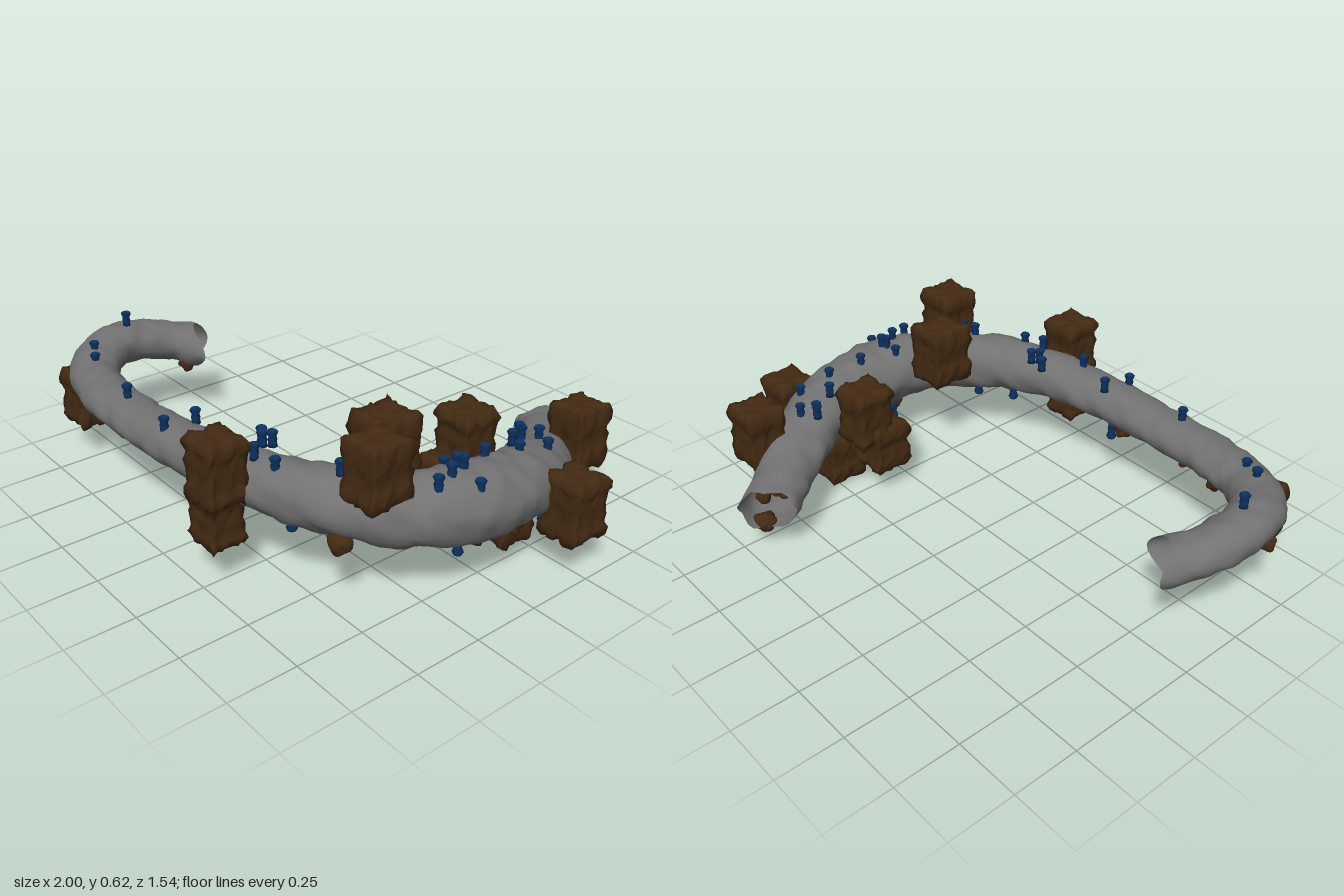
import * as THREE from 'three';
import { mergeVertices } from 'three/addons/utils/BufferGeometryUtils.js';
import { ParametricGeometry } from 'three/addons/geometries/ParametricGeometry.js';

const grey = new THREE.MeshStandardMaterial({ color: 0x727272, side: THREE.DoubleSide });
const brown = new THREE.MeshStandardMaterial({ color: 0x432a13 });
const blue = new THREE.MeshStandardMaterial({ color: 0x0d3160 });

// Tunnel stations: x, y, z, half width, half height
const stations = [
  [-0.80, 0.305, 0.06, 0.10, 0.08], [-0.865, 0.33, 0.15, 0.088, 0.08],
  [-0.905, 0.365, 0.32, 0.09, 0.08], [-0.87, 0.362, 0.46, 0.095, 0.08],
  [-0.76, 0.345, 0.56, 0.093, 0.074], [-0.58, 0.34, 0.612, 0.093, 0.072],
  [-0.30, 0.34, 0.622, 0.093, 0.073], [0.0, 0.35, 0.605, 0.093, 0.082],
  [0.30, 0.355, 0.545, 0.1, 0.097], [0.54, 0.345, 0.43, 0.11, 0.11],
  [0.70, 0.33, 0.27, 0.12, 0.122], [0.765, 0.315, 0.10, 0.13, 0.128],
  [0.77, 0.30, -0.06, 0.13, 0.126], [0.735, 0.275, -0.22, 0.125, 0.12],
  [0.635, 0.235, -0.40, 0.118, 0.1], [0.51, 0.20, -0.56, 0.108, 0.086],
  [0.415, 0.185, -0.68, 0.105, 0.082],
];
const path = new THREE.CatmullRomCurve3(stations.map(([x, y, z]) => new THREE.Vector3(x, y, z)));
const UP = new THREE.Vector3(0, 1, 0);

// Smooth repeatable bumps from a position
const bump = (x, y, z, f, s = 0) =>
  (Math.sin(x * f + 1.7 * Math.sin(z * f * 0.8 + s)) +
   Math.sin(y * f * 1.2 + 2.1 * Math.sin(x * f * 0.7 + s + 1)) +
   Math.sin(z * f * 1.1 + 1.9 * Math.sin(y * f * 0.9 + s + 2))) / 3;

function smooth(geometry) {
  geometry.deleteAttribute('normal');
  geometry.deleteAttribute('uv');
  const merged = mergeVertices(geometry, 1e-4);
  merged.computeVertexNormals();
  return merged;
}

// Open tube with an uneven wall and ragged mouths
function tunnelGeometry() {
  const last = stations.length - 1;
  const side = new THREE.Vector3();
  return smooth(new ParametricGeometry((u, v, target) => {
    const i = Math.min(last - 1, Math.floor(u * last)), f = u * last - i;
    const [w, h] = [3, 4].map((k) => THREE.MathUtils.lerp(stations[i][k], stations[i + 1][k], f));
    const p = path.getPoint(u), t = path.getTangent(u);
    side.crossVectors(t, UP).normalize();
    const a = (v % 1) * Math.PI * 2, c = Math.cos(a), s = Math.sin(a);
    target.copy(p).addScaledVector(side, c * w).addScaledVector(UP, s * h);
    const { x, y, z } = target;
    const n = 1 + 0.05 * bump(x, y, z, 30) + 0.06 * bump(x, y, z, 55, 2);
    target.copy(p).addScaledVector(side, c * w * n).addScaledVector(UP, s * h * n);
    // pull the rim back and forth along the path
    const rim = Math.max(0, 1 - Math.min(u, 1 - u) * 30);
    const pull = u < 0.5 ? -0.025 * Math.cos(2 * a) : 0.02 * c + 0.012 * Math.sin(5 * a);
    target.addScaledVector(t, rim * pull);
  }, 150, 24));
}

// Weathered block: waisted sides, rounded corners and pitted faces
function boulderGeometry(w, h, seed) {
  const g = new THREE.BoxGeometry(1, 1, 1, 8, 12, 8);
  const p = g.attributes.position;
  for (let i = 0; i < p.count; i++) {
    const [x, y, z] = [p.getX(i), p.getY(i), p.getZ(i)];
    const k = 0.84 + 0.85 * y * y - 2.2 * Math.max(0, Math.abs(y) - 0.38) + 0.2 * Math.abs(x * z);
    const dent = (s) => 0.05 * bump(x, y, z, 13, seed + s) + 0.035 * bump(x, y, z, 22, seed - s);
    const rise = 0.93 + 0.25 * Math.abs(x * z);
    p.setXYZ(i, (x * k + dent(0)) * w, (y * rise + 0.6 * dent(2)) * h, (z * k + dent(4)) * w);
  }
  return smooth(g);
}

// Small lumpy stone
function stoneGeometry(r, seed) {
  const g = new THREE.IcosahedronGeometry(r, 3);
  const p = g.attributes.position;
  for (let i = 0; i < p.count; i++) {
    const [x, y, z] = [p.getX(i) / r, p.getY(i) / r, p.getZ(i) / r];
    const n = r * (1 + 0.28 * bump(x, y, z, 3, seed) + 0.1 * bump(x, y, z, 6, seed));
    p.setXYZ(i, x * n, y * n, z * n);
  }
  return smooth(g);
}

export function createModel() {
  const group = new THREE.Group();
  const add = (name, geometry, material, x, y, z) => {
    const mesh = new THREE.Mesh(geometry, material);
    mesh.name = name;
    mesh.position.set(x, y, z);
    group.add(mesh);
    return mesh;
  };

  add('tunnel', tunnelGeometry(), grey, 0, 0, 0);

  // Large boulders: x, y, z, width, height
  [
    [0.69, 0.32, -0.53, 0.155, 0.25], [0.915, 0.245, -0.255, 0.16, 0.24],
    [0.50, 0.35, -0.17, 0.165, 0.24], [0.49, 0.2, -0.11, 0.165, 0.2],
    [0.525, 0.465, 0.22, 0.17, 0.24], [0.685, 0.51, 0.395, 0.16, 0.23],
    [0.27, 0.435, 0.69, 0.155, 0.24], [0.235, 0.24, 0.675, 0.145, 0.2],
    [-0.785, 0.25, 0.59, 0.145, 0.23], [0.655, 0.11, -0.215, 0.155, 0.205],
  ].forEach(([x, y, z, w, h], i) => add('boulder', boulderGeometry(w, h, i * 1.3), brown, x, y, z));

  // Small stones along the underside: x, y, z, radius
  [
    [-0.95, 0.285, 0.42, 0.03], [-0.88, 0.25, 0.5, 0.04], [-0.82, 0.235, 0.12, 0.03],
    [-0.59, 0.26, 0.6, 0.035], [-0.43, 0.265, 0.62, 0.03], [-0.13, 0.265, 0.6, 0.035],
    [0.13, 0.285, 0.645, 0.04], [0.62, 0.255, 0.48, 0.04],
    [0.72, 0.19, 0.12, 0.035], [0.68, 0.17, -0.08, 0.04], [0.8, 0.18, -0.1, 0.035],
    [0.79, 0.2, 0.06, 0.035], [0.6, 0.135, -0.42, 0.04], [0.55, 0.12, -0.54, 0.035],
    [0.555, 0.145, -0.62, 0.035], [0.46, 0.1, -0.67, 0.04],
  ].forEach(([x, y, z, r], i) => add('stone', stoneGeometry(r, i * 0.9), brown, x, y, z));

  // Cupped knobs standing on the roof: x, y, z of the base
  const knob = new THREE.LatheGeometry(
    [[0, 0], [0.017, 0], [0.014, 0.012], [0.016, 0.024], [0.013, 0.034], [0.02, 0.05], [0.016, 0.056], [0, 0.042]]
      .map(([x, y]) => new THREE.Vector2(x, y)), 8);
  [
    [-0.89, 0.44, 0.34], [-0.795, 0.4, 0.535], [-0.725, 0.385, 0.57], [-0.38, 0.405, 0.63],
    [-0.085, 0.405, 0.66], [-0.055, 0.415, 0.555], [0.11, 0.425, 0.605], [0.205, 0.425, 0.47],
    [0.245, 0.435, 0.495], [0.265, 0.435, 0.47], [0.305, 0.44, 0.57], [0.395, 0.425, 0.555],
    [0.56, 0.445, 0.43], [0.615, 0.445, 0.415], [0.785, 0.42, 0.235], [0.77, 0.43, 0.165],
    [0.69, 0.4, 0.12], [0.735, 0.43, 0.11], [0.755, 0.43, 0.1], [0.84, 0.385, 0.11],
    [0.72, 0.405, -0.03], [0.745, 0.38, -0.165], [0.665, 0.37, -0.22], [0.755, 0.35, -0.295],
    [0.605, 0.34, -0.32], [0.625, 0.34, -0.31], [0.66, 0.335, -0.36],
  ].forEach(([x, y, z], i) => { add('roofKnob', knob, blue, x, y, z).rotation.y = i; });

  // Longer knobs hanging below the floor: x, y, z of the root
  [
    [-0.085, 0.28, 0.58], [0.4, 0.27, 0.5], [0.55, 0.25, 0.44],
    [0.7, 0.2, 0.1], [0.76, 0.2, 0.11], [0.745, 0.165, -0.16], [0.75, 0.15, -0.31], [0.73, 0.15, -0.355],
  ].forEach(([x, y, z]) => {
    const mesh = add('hangingKnob', knob, blue, x, y, z);
    mesh.rotation.x = Math.PI;
    mesh.scale.y = 1.3;
  });

  return group;
}
